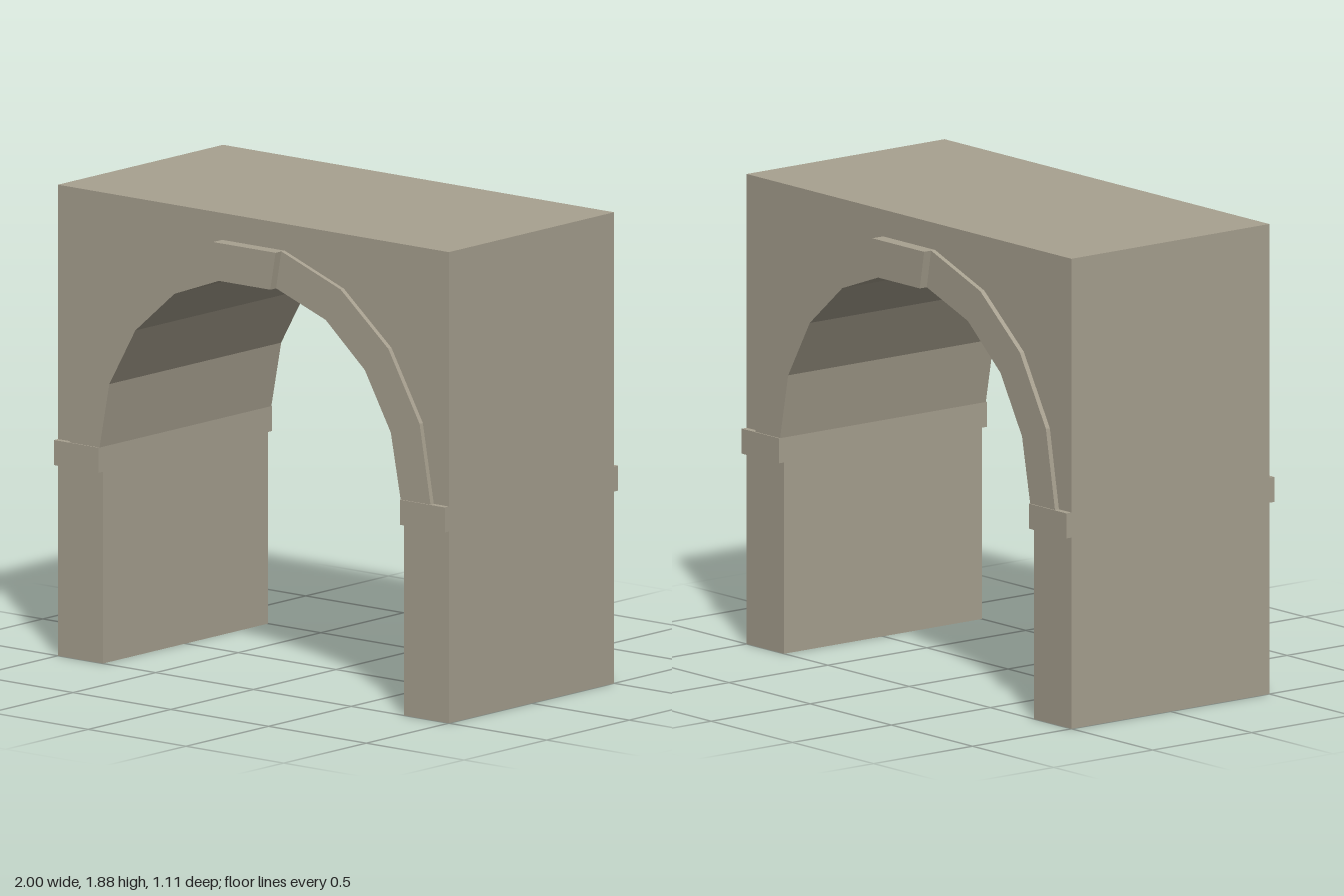
import * as THREE from 'three';

const HALF_DEPTH = 0.5;
const TOP = 1.88;
const SPRING = 0.865; // height where the arch begins

// Right half of the opening and of the raised band, from spring to crown
const inner = [[0.77, SPRING], [0.72, 1.125], [0.587, 1.357], [0.387, 1.53], [0.133, 1.622]];
const outer = [[0.923, SPRING], [0.867, 1.18], [0.707, 1.458], [0.463, 1.662], [0.16, 1.773]];

const mirrorX = (pts) => pts.map(([x, y]) => [-x, y]).reverse();

function prism(points, z0, z1) {
  const shape = new THREE.Shape(points.map(([x, y]) => new THREE.Vector2(x, y)));
  const geometry = new THREE.ExtrudeGeometry(shape, { depth: z1 - z0, bevelEnabled: false });
  return geometry.translate(0, 0, z0);
}

export function createModel() {
  const model = new THREE.Group();
  model.name = 'archway';
  const stone = new THREE.MeshStandardMaterial({ color: 0xa8a190 });
  stone.name = 'stone';

  const add = (parent, name, geometry) => {
    const mesh = new THREE.Mesh(geometry, stone);
    mesh.name = name;
    parent.add(mesh);
    return mesh;
  };

  // Block with the faceted opening cut through it
  const opening = [[0.77, 0], ...inner, ...mirrorX(inner), [-0.77, 0]];
  add(model, 'wall', prism(
    [[1, 0], [1, TOP], [-1, TOP], [-1, 0], ...opening.reverse()],
    -HALF_DEPTH, HALF_DEPTH));

  // Raised trim, the same on the front and the back
  const band = [...outer, ...[...inner].reverse()];
  const keystone = [inner[4], outer[4], ...mirrorX([inner[4], outer[4]])];
  for (const face of ['front', 'back']) {
    const trim = new THREE.Group();
    trim.name = face + 'Trim';
    if (face === 'back') trim.rotation.y = Math.PI;

    for (const side of [1, -1]) {
      const name = side > 0 ? 'left' : 'right';
      add(trim, name + 'ArchBand', prism(side > 0 ? band : mirrorX(band), HALF_DEPTH, 0.52));
      // Impost block under the foot of the band
      const impost = add(trim, name + 'Impost', new THREE.BoxGeometry(0.23, 0.1, 0.025));
      impost.position.set(side * 0.885, SPRING - 0.05, HALF_DEPTH + 0.0125);
    }
    add(trim, 'keystone', prism(keystone, HALF_DEPTH, 0.555));
    model.add(trim);
  }
  return model;
}
